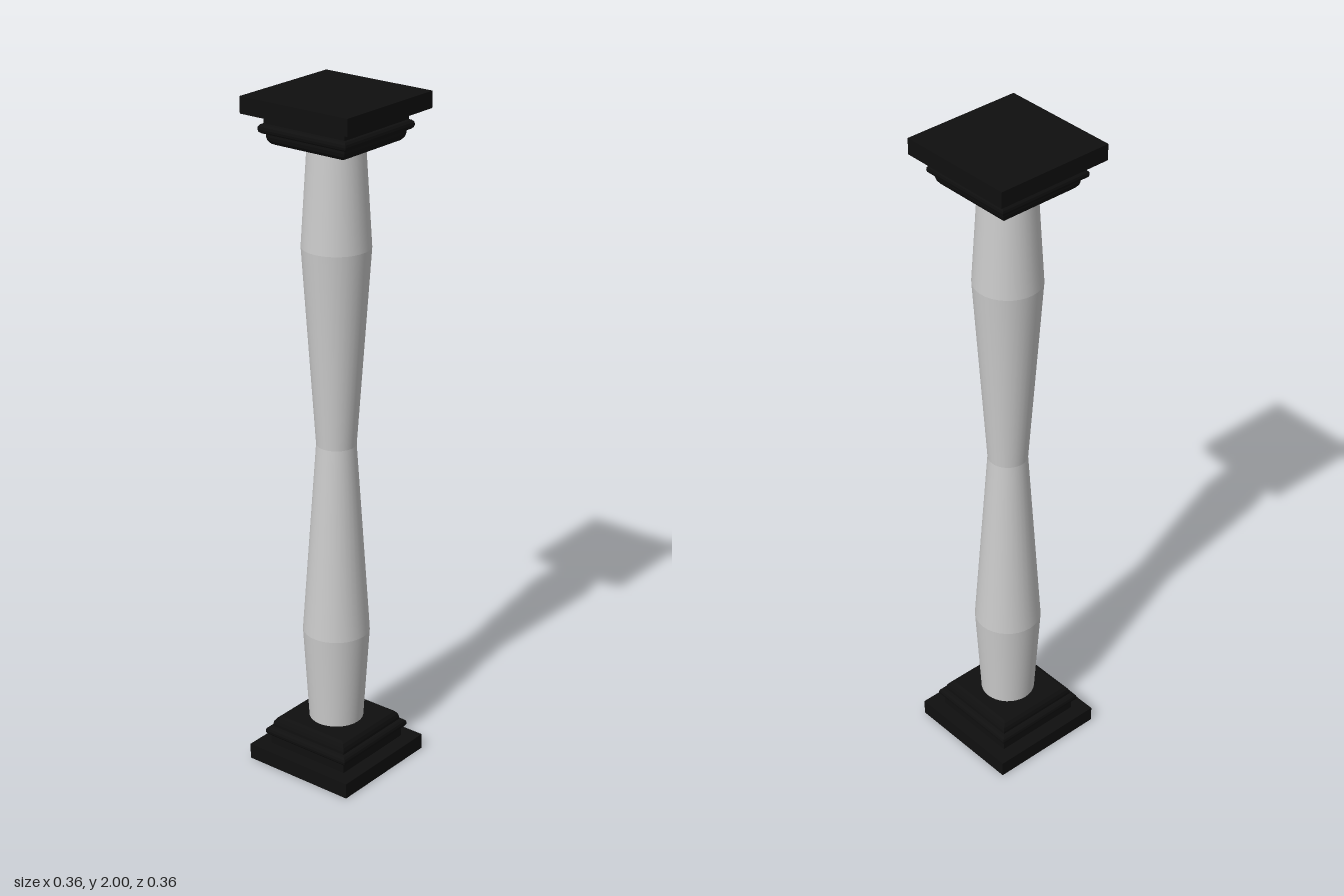
import * as THREE from 'three';

const black = new THREE.MeshStandardMaterial({ color: 0x0f0f0f, flatShading: true });
const grey = new THREE.MeshStandardMaterial({ color: 0xcccccc });

// Square moulding swept from a profile of [half width, height]
function squareMoulding(profile) {
  const points = profile.map(([w, y]) => new THREE.Vector2(w * Math.SQRT2, y));
  return new THREE.LatheGeometry(points, 4).rotateY(Math.PI / 4);
}

// Plinth with stepped, rounded mouldings
function footing(name) {
  const group = new THREE.Group();
  group.name = name;
  const plinth = new THREE.Mesh(new THREE.BoxGeometry(0.36, 0.047, 0.36), black);
  plinth.position.y = 0.0235;
  plinth.name = 'plinth';
  const moulding = new THREE.Mesh(squareMoulding([
    [0.136, 0.047], [0.136, 0.075],
    [0.142, 0.077], [0.147, 0.083], [0.148, 0.09], [0.146, 0.097], [0.14, 0.102],
    [0.132, 0.104], [0.132, 0.112], [0.129, 0.122], [0.122, 0.131], [0.113, 0.135],
    [0, 0.135],
  ]), black);
  moulding.name = 'moulding';
  group.add(plinth, moulding);
  return group;
}

export function createModel() {
  const model = new THREE.Group();
  model.name = 'column';

  const base = footing('base');
  const capital = footing('capital');
  capital.rotation.z = Math.PI;
  capital.position.y = 2;
  model.add(base, capital);

  // Round shaft: tapered sections with a crease at each joint
  const shaft = new THREE.Group();
  shaft.name = 'shaft';
  const rings = [[0.079, 0.13], [0.097, 0.42], [0.057, 1], [0.097, 1.58], [0.079, 1.87]];
  for (let i = 0; i < rings.length - 1; i++) {
    const [r0, y0] = rings[i];
    const [r1, y1] = rings[i + 1];
    const section = new THREE.Mesh(new THREE.CylinderGeometry(r1, r0, y1 - y0, 32, 1, true), grey);
    section.position.y = (y0 + y1) / 2;
    section.name = 'shaftSection' + (i + 1);
    shaft.add(section);
  }
  model.add(shaft);
  return model;
}
